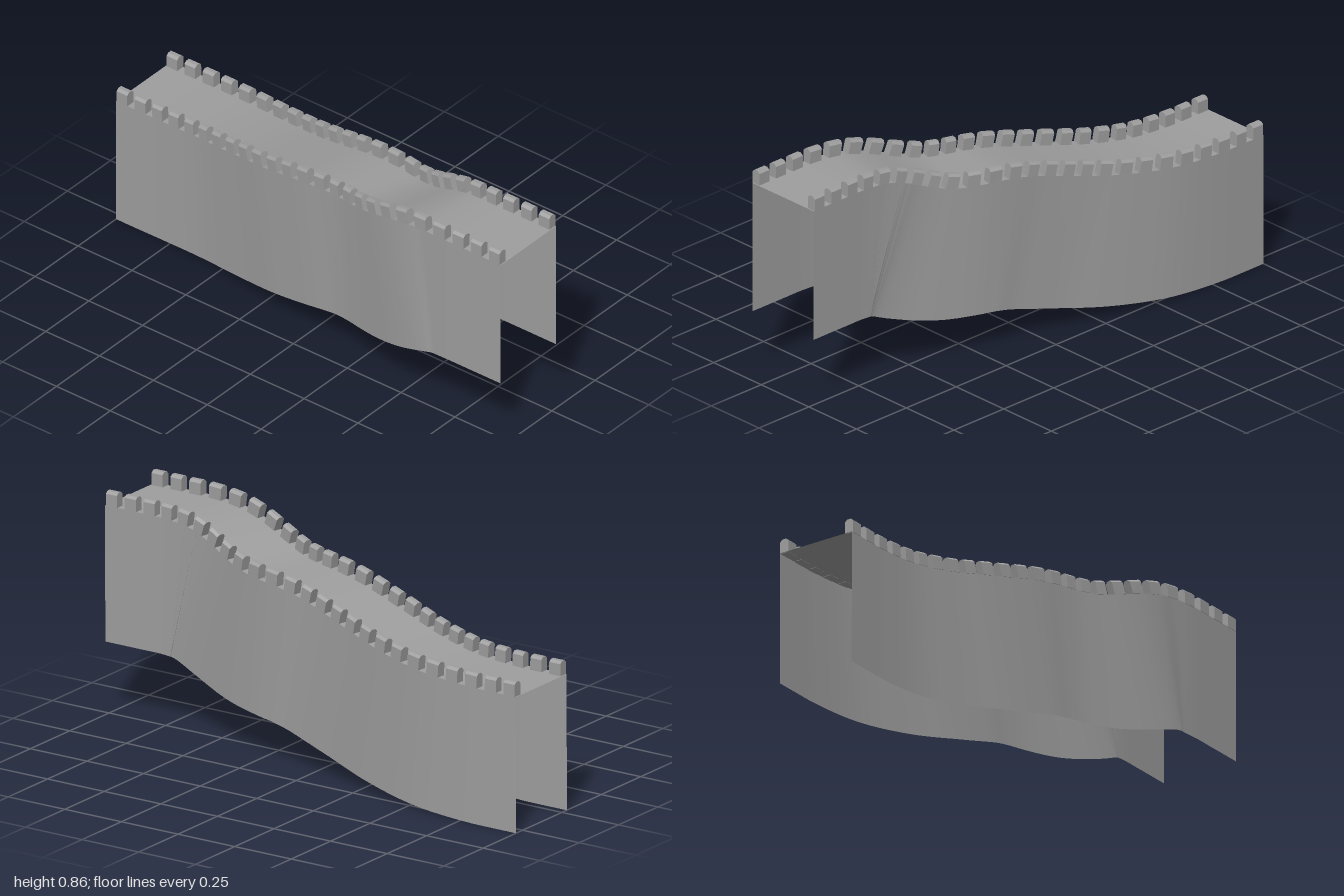
import * as THREE from 'three';
import { mergeGeometries, toCreasedNormals } from 'three/addons/utils/BufferGeometryUtils.js';

const HALF = 0.161, HEIGHT = 0.52, MERLONS = 25;

// Centre line of the walkway, running from front to back
const path = new THREE.CatmullRomCurve3([
  [-0.136, 0.805, 1], [-0.136, 0.805, 0.85], [-0.135, 0.804, 0.72], [-0.125, 0.793, 0.6],
  [-0.109, 0.765, 0.5], [-0.085, 0.727, 0.4], [-0.056, 0.699, 0.3], [-0.032, 0.688, 0.2],
  [-0.017, 0.678, 0.1], [-0.004, 0.66, 0], [0.034, 0.61, -0.2], [0.082, 0.565, -0.4],
  [0.119, 0.537, -0.6], [0.131, 0.526, -0.8], [0.131, 0.525, -0.9], [0.131, 0.525, -1],
].map(p => new THREE.Vector3(...p)));
path.arcLengthDivisions = 800;

// Place a [side, up] section at u, square to the smoothed direction of the path
function sectionAt(profile, u) {
  const p = path.getPointAt(u);
  const t = path.getPointAt(Math.min(1, u + 0.025)).sub(path.getPointAt(Math.max(0, u - 0.025))).normalize();
  const side = t.clone().cross(new THREE.Vector3(0, 1, 0)).normalize();
  const up = side.clone().cross(t);
  return profile.map(([s, h]) => p.clone().addScaledVector(side, s).addScaledVector(up, h));
}

// Sweep a section along part of the path; closed sections get end caps
function sweep(profile, u0, u1, steps, closed) {
  const pos = [], n = profile.length;
  const tri = (...v) => v.forEach(q => pos.push(q.x, q.y, q.z));
  const rings = [];
  for (let i = 0; i <= steps; i++) rings.push(sectionAt(profile, u0 + (u1 - u0) * i / steps));
  for (let i = 0; i < steps; i++) {
    const A = rings[i], B = rings[i + 1];
    for (let j = 0; j < (closed ? n : n - 1); j++) {
      const k = (j + 1) % n;
      tri(A[j], B[j], B[k]);
      tri(A[j], B[k], A[k]);
    }
  }
  if (closed) {
    const F = rings[0], R = rings[steps];
    for (let j = 1; j < n - 1; j++) {
      tri(F[0], F[j], F[j + 1]);
      tri(R[0], R[j + 1], R[j]);
    }
  }
  const g = new THREE.BufferGeometry();
  g.setAttribute('position', new THREE.Float32BufferAttribute(pos, 3));
  return toCreasedNormals(g, 0.4);
}

export function createModel() {
  const group = new THREE.Group();
  const sheet = new THREE.MeshStandardMaterial({ color: 0x9e9e9e, side: THREE.DoubleSide });
  const solid = new THREE.MeshStandardMaterial({ color: 0x9e9e9e });
  const add = (name, geometry, material) => {
    const mesh = new THREE.Mesh(geometry, material);
    mesh.name = name;
    group.add(mesh);
  };

  // Thin side walls and walkway, open below and at both ends
  add('leftWall', sweep([[HALF, -HEIGHT], [HALF, 0]], 0, 1, 80, false), sheet);
  add('rightWall', sweep([[-HALF, 0], [-HALF, -HEIGHT]], 0, 1, 80, false), sheet);
  add('walkway', sweep([[HALF, 0], [-HALF, 0]], 0, 1, 80, false), sheet);

  // Battlements: a row of chamfered merlons along each edge
  const merlon = [[-0.018, 0], [0.018, 0], [0.018, 0.047], [0.008, 0.056], [-0.008, 0.056], [-0.018, 0.047]];
  const width = 0.6 / MERLONS, pitch = (1 - width - 0.004) / (MERLONS - 1);
  for (const [name, s] of [['leftBattlements', 1], ['rightBattlements', -1]]) {
    const profile = merlon.map(([x, y]) => [x + s * (HALF - 0.016), y - 0.001]);
    const blocks = [];
    for (let i = 0; i < MERLONS; i++) {
      const u = 0.002 + i * pitch;
      blocks.push(sweep(profile, u, u + width, 1, true));
    }
    add(name, mergeGeometries(blocks), solid);
  }
  return group;
}
